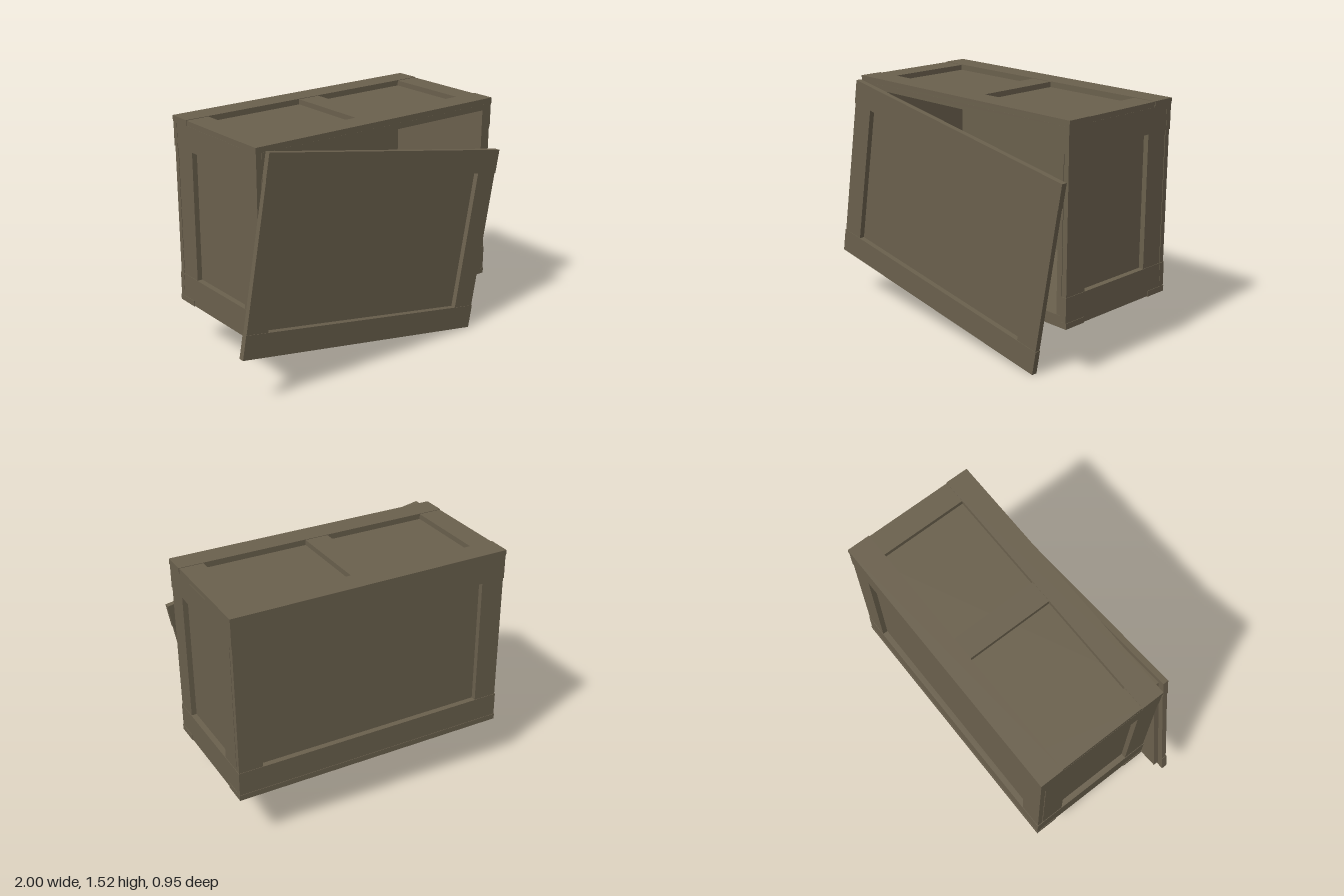
import * as THREE from 'three';

const T = 0.036;   // board thickness
const B = 0.152;   // board width
const wood = new THREE.MeshStandardMaterial({ color: 0x6a604d });
wood.name = 'weathered wood';

function board(group, name, w, h, d, x, y, z) {
  const mesh = new THREE.Mesh(new THREE.BoxGeometry(w, h, d), wood);
  mesh.name = name;
  mesh.position.set(x, y, z);
  group.add(mesh);
}

// A framed wall facing local +z: backing panel behind z = 0, boards in front of it
function framedWall(name, w, h, { panelW = w, panelH = h, panelY = 0, divider = false } = {}) {
  const wall = new THREE.Group();
  wall.name = name;
  board(wall, 'panel', panelW, panelH, T, 0, panelY, -T / 2);
  for (const s of [-1, 1]) {
    board(wall, 'rail', w, B, T, 0, s * (h - B) / 2, T / 2);
    // uprights sit a hair inside the rails
    board(wall, 'stile', B, h - 2 * B, T - 0.003, s * (w - B - 0.008) / 2, 0, (T - 0.003) / 2);
  }
  if (divider) board(wall, 'divider', B, h - 2 * B, T - 0.003, 0, 0, (T - 0.003) / 2);
  return wall;
}

export function createModel() {
  const model = new THREE.Group();
  model.name = 'openCrate';

  // Crate body, open at the front
  const crate = new THREE.Group();
  crate.name = 'crate';
  crate.position.set(0.074, 0.924, 0);
  model.add(crate);

  // Top and bottom
  for (const s of [1, -1]) {
    const wall = framedWall(s > 0 ? 'top' : 'bottom', 1.81, 0.874,
      { panelW: 1.735, panelH: 0.835, panelY: -0.02 * s, divider: true });
    wall.rotation.x = -s * Math.PI / 2;
    wall.position.set(0, s * 0.565, -0.037);
    crate.add(wall);
  }

  // Left and right sides
  for (const s of [1, -1]) {
    const wall = framedWall(s > 0 ? 'leftSide' : 'rightSide', 0.833, 1.13);
    wall.rotation.y = s * Math.PI / 2;
    wall.position.set(s * 0.866, 0, -0.0175);
    crate.add(wall);
  }

  // Back
  const back = framedWall('back', 1.806, 1.13, { panelW: 1.735 });
  back.rotation.y = Math.PI;
  back.position.z = -0.435;
  crate.add(back);

  // Loose lid leaning askew across the opening
  const lid = framedWall('lid', 1.817, 1.208, { panelW: 1.736, panelH: 1.13 });
  lid.rotation.z = -THREE.MathUtils.degToRad(10);
  lid.position.set(0, 0.756, 0.437);
  model.add(lid);

  return model;
}
